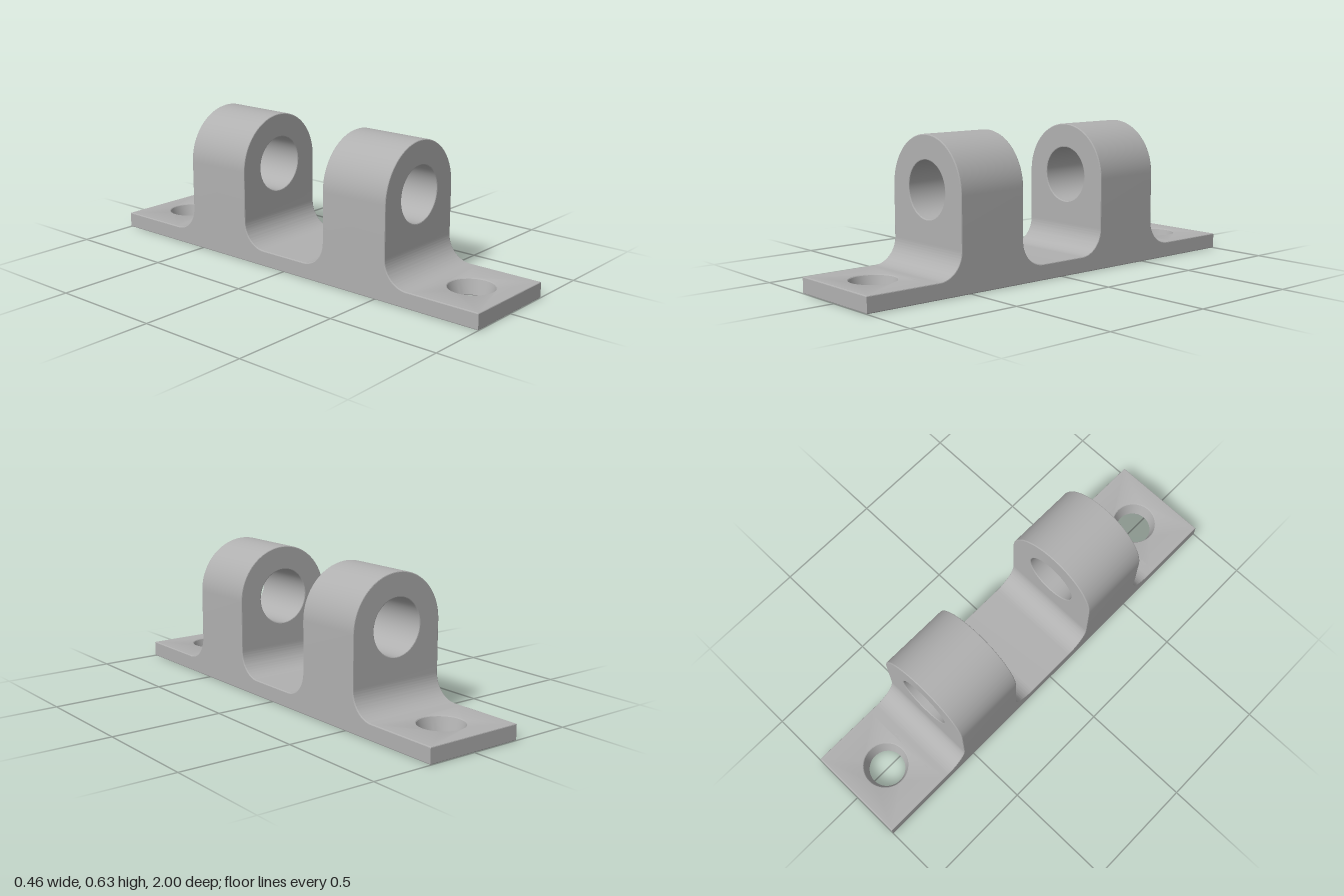
import * as THREE from 'three';
import { toCreasedNormals } from 'three/addons/utils/BufferGeometryUtils.js';

const W = 0.228;          // half width
const T = 0.07;           // plate thickness
const B = 0.004;          // softened edge
const F = 0.11;           // fillet radius
const INNER = 0.225, OUTER = 0.55; // lug faces along z
const AXIS = 0.402;       // height of the bore

// Extrude to an exact total depth, with small softened edges kept inside the outline
function extrude(shape, depth) {
  const geo = new THREE.ExtrudeGeometry(shape, {
    depth: depth - 2 * B, curveSegments: 24,
    bevelEnabled: true, bevelThickness: B, bevelSize: B, bevelOffset: -B, bevelSegments: 2,
  });
  return geo.translate(0, 0, B);
}

function circlePath(x, y, r) {
  const p = new THREE.Path();
  p.absarc(x, y, r, 0, Math.PI * 2, true);
  return p;
}

// Side profile: plate middle flowing through fillets into both lug stems
function bodyGeometry() {
  const y = T + F, top = 0.25, end = 0.7, h = Math.PI / 2;
  const s = new THREE.Shape();
  s.moveTo(-end, 0);
  s.lineTo(end, 0);
  s.lineTo(end, T);
  s.lineTo(OUTER + F, T);
  s.absarc(OUTER + F, y, F, -h, -2 * h, true);
  s.lineTo(OUTER, top);
  s.lineTo(INNER, top);
  s.lineTo(INNER, y);
  s.absarc(INNER - F, y, F, 0, -h, true);
  s.lineTo(F - INNER, T);
  s.absarc(F - INNER, y, F, -h, -2 * h, true);
  s.lineTo(-INNER, top);
  s.lineTo(-OUTER, top);
  s.lineTo(-OUTER, y);
  s.absarc(-OUTER - F, y, F, 0, -h, true);
  s.lineTo(-end, T);
  return extrude(s, 2 * W).translate(0, 0, -W).rotateY(-Math.PI / 2);
}

// Round-topped lug with a bore, starting inside the stem
function lugGeometry() {
  const s = new THREE.Shape();
  s.moveTo(-W, 0.18);
  s.lineTo(W, 0.18);
  s.lineTo(W, AXIS);
  s.absarc(0, AXIS, W, 0, Math.PI, false);
  s.lineTo(-W, 0.18);
  s.holes.push(circlePath(0, AXIS, 0.122));
  return extrude(s, OUTER - INNER);
}

// Mounting pad; its screw hole is widened towards the top into a countersink
function padGeometry(side) {
  const holeZ = 0.817, a = 0.67, b = 1;
  const s = new THREE.Shape();
  const y0 = side > 0 ? -b : a, y1 = side > 0 ? -a : b;
  s.moveTo(-W, y0);
  s.lineTo(W, y0);
  s.lineTo(W, y1);
  s.lineTo(-W, y1);
  s.lineTo(-W, y0);
  s.holes.push(circlePath(0, -side * holeZ, 0.08));
  const geo = extrude(s, T).rotateX(-Math.PI / 2);
  const pos = geo.attributes.position;
  for (let i = 0; i < pos.count; i++) {
    const x = pos.getX(i), z = pos.getZ(i) - side * holeZ;
    const r = Math.hypot(x, z);
    if (r > 0.1) continue;
    const k = 1 + Math.max(0, pos.getY(i) - 0.035) * 0.6 / r;
    pos.setX(i, x * k);
    pos.setZ(i, side * holeZ + z * k);
  }
  return geo;
}

export function createModel() {
  const group = new THREE.Group();
  group.name = 'doubleLugBracket';
  const metal = new THREE.MeshStandardMaterial({ color: 0xb0b0b0 });
  metal.name = 'plain grey metal';

  const add = (geo, name) => {
    const mesh = new THREE.Mesh(toCreasedNormals(geo, 0.35), metal);
    mesh.name = name;
    group.add(mesh);
  };

  add(bodyGeometry(), 'filletedBase');
  for (const side of [1, -1]) {
    const label = side > 0 ? 'front' : 'back';
    add(lugGeometry().translate(0, 0, side > 0 ? INNER : -OUTER), label + 'Lug');
    add(padGeometry(side), label + 'MountingPad');
  }
  return group;
}
